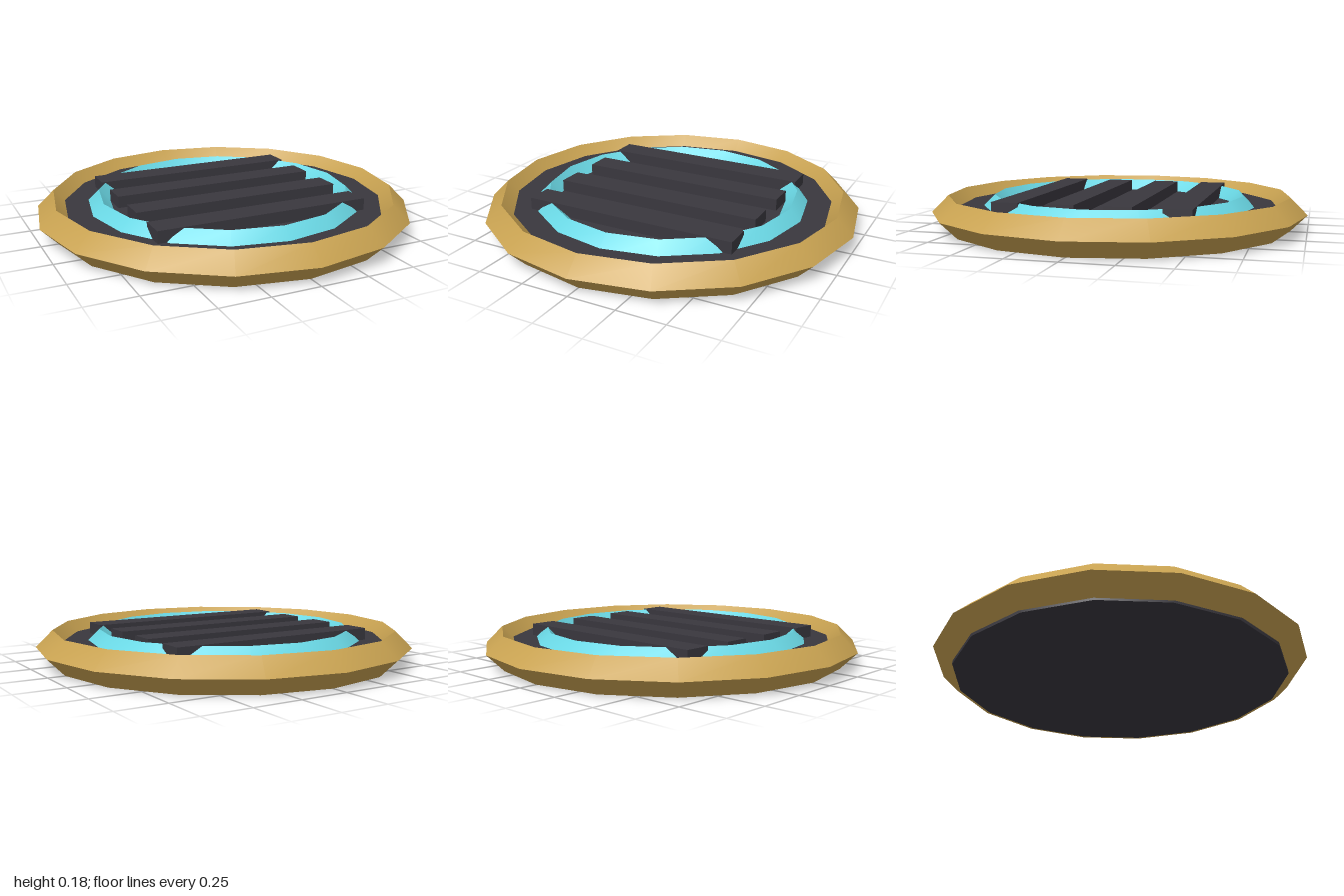
import * as THREE from 'three';
import { toCreasedNormals } from 'three/addons/utils/BufferGeometryUtils.js';

const SIDES = 16;
const DISC_TOP = 0.118;

function material(name, color) {
  const m = new THREE.MeshStandardMaterial({ color });
  m.name = name;
  return m;
}

export function createModel() {
  const model = new THREE.Group();
  model.name = 'roundGrate';

  const gold = material('gold', 0xc8a251);
  const cyan = material('cyan', 0x6ad8e5);
  const dark = material('dark grey', 0x39373e);

  function add(name, geometry, mat, x, y, z) {
    const mesh = new THREE.Mesh(geometry, mat);
    mesh.name = name;
    mesh.position.set(x, y, z);
    model.add(mesh);
  }

  // Ring with a diamond cross-section: smooth around, sharp along its ridges
  function diamondRing(radius, tube) {
    const ring = new THREE.TorusGeometry(radius, tube, 4, SIDES).rotateX(Math.PI / 2);
    return toCreasedNormals(ring, 0.8);
  }

  // Base disc and outer rim
  const disc = new THREE.CylinderGeometry(0.895, 0.895, DISC_TOP, SIDES);
  add('baseDisc', disc, dark, 0, DISC_TOP / 2, 0);
  add('outerRim', diamondRing(0.9125, 0.0875), gold, 0, 0.0885, 0);

  // Glowing inner ring, half sunk into the disc
  add('innerRing', diamondRing(0.67, 0.0875), cyan, 0, 0.0885, 0);

  // Four parallel grate bars
  const bar = new THREE.BoxGeometry(1.14, 0.08, 0.14);
  for (let i = 0; i < 4; i++) {
    add('grateBar' + (i + 1), bar, dark, 0, 0.14, (i - 1.5) * 0.286);
  }

  return model;
}
